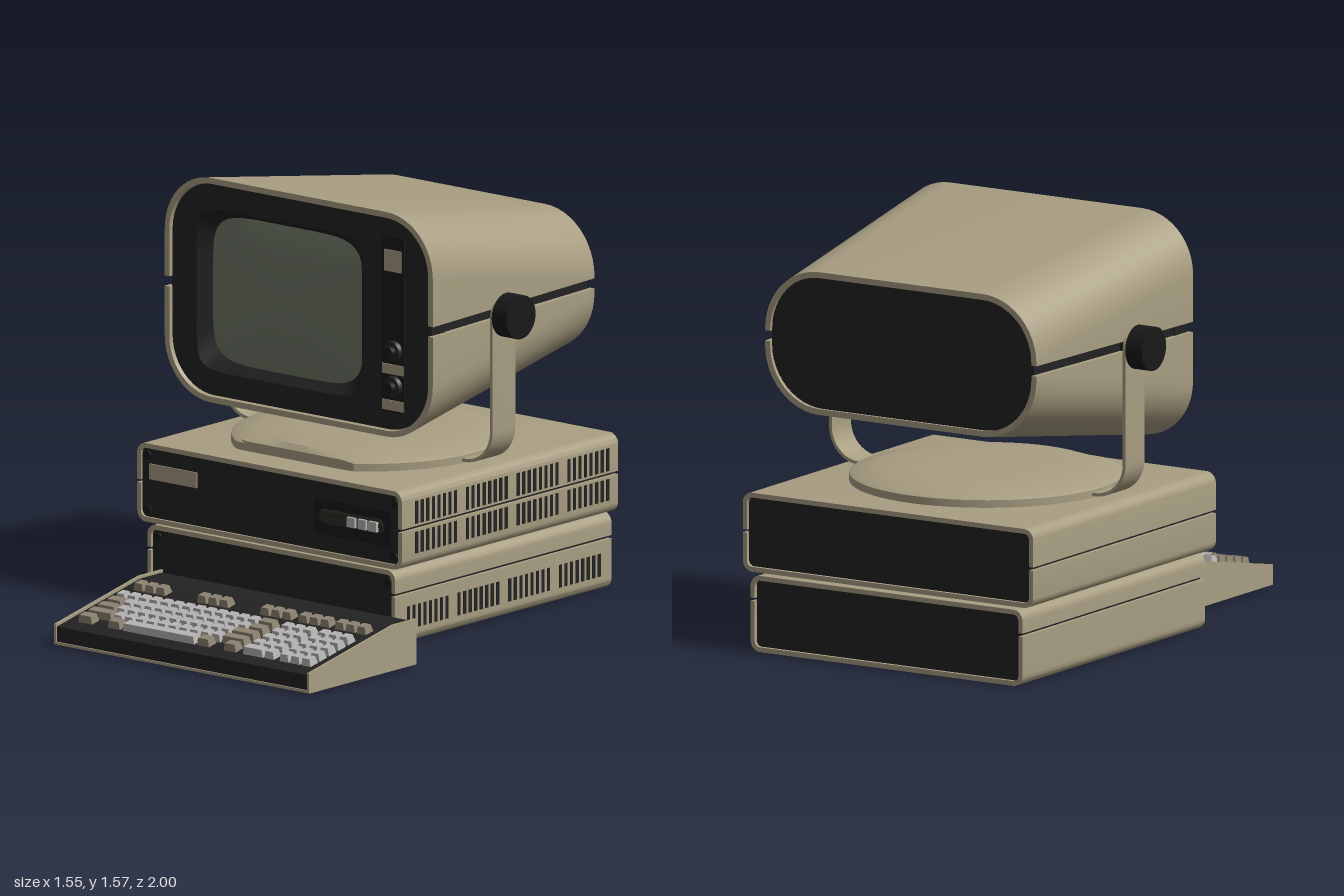
import * as THREE from 'three';
import { mergeGeometries, toCreasedNormals } from 'three/addons/utils/BufferGeometryUtils.js';

const material = (name, color, side = THREE.FrontSide) => {
  const m = new THREE.MeshStandardMaterial({ color, side });
  m.name = name;
  return m;
};

const CX = -0.057; // centre line of the stacked cases and monitor

// Closed solid between two matching counter-clockwise outlines (z0 behind z1)
function loft(back, z0, front, z1) {
  const n = back.length, pos = [];
  const put = (p, z) => pos.push(p.x, p.y, z);
  for (let i = 0; i < n; i++) {
    const j = (i + 1) % n;
    put(back[i], z0); put(back[j], z0); put(front[j], z1);
    put(back[i], z0); put(front[j], z1); put(front[i], z1);
  }
  for (const [a, b, c] of THREE.ShapeUtils.triangulateShape(front, [])) {
    put(front[a], z1); put(front[b], z1); put(front[c], z1);
  }
  for (const [a, b, c] of THREE.ShapeUtils.triangulateShape(back, [])) {
    put(back[a], z0); put(back[c], z0); put(back[b], z0);
  }
  const g = new THREE.BufferGeometry();
  g.setAttribute('position', new THREE.Float32BufferAttribute(pos, 3));
  return toCreasedNormals(g, 0.6);
}

// Rounded arch from the right end, over the top, to the left end
function arch(hw, h, r) {
  const pts = [new THREE.Vector2(hw, 0)];
  for (const [side, start] of [[1, 0], [-1, Math.PI / 2]])
    for (let i = 0; i <= 12; i++) {
      const a = start + (i / 12) * Math.PI / 2;
      pts.push(new THREE.Vector2(side * (hw - r) + r * Math.cos(a), h - r + r * Math.sin(a)));
    }
  pts.push(new THREE.Vector2(-hw, 0));
  return pts;
}

// Half of a hollow shell; dir 1 opens downward, -1 opens upward
function halfRing(y, dir, hw, h, r, t) {
  const pts = [...arch(hw, h, r), ...arch(hw - t, h - t, r - t).reverse()];
  pts.forEach((p) => p.set(CX + p.x, y + dir * p.y));
  return dir < 0 ? pts.reverse() : pts;
}

function roundedRect(hw, y0, y1, r) {
  const mid = (y0 + y1) / 2, top = arch(hw, (y1 - y0) / 2, r);
  return [...top, ...top.map((p) => p.clone().negate())].map((p) => p.set(p.x + CX, p.y + mid));
}

// Soft-cornered screen outline in polar steps
function softPoint(a, hw, hh, n) {
  const r = (Math.abs(Math.cos(a)) ** n + Math.abs(Math.sin(a)) ** n) ** (-1 / n);
  return new THREE.Vector2(hw * r * Math.cos(a), hh * r * Math.sin(a));
}

// Side profile in (z, y), extruded across x
function prism(profile, x0, x1) {
  const shape = new THREE.Shape(profile.map(([z, y]) => new THREE.Vector2(z, y)));
  const g = new THREE.ExtrudeGeometry(shape, { depth: x1 - x0, bevelEnabled: false });
  return g.rotateY(-Math.PI / 2).translate(x1, 0, 0);
}

const boxAt = (x0, x1, y0, y1, z0, z1) =>
  new THREE.BoxGeometry(x1 - x0, y1 - y0, z1 - z0).translate((x0 + x1) / 2, (y0 + y1) / 2, (z0 + z1) / 2);

export function createModel() {
  const model = new THREE.Group();
  const beige = material('beige casing', 0xa89e82);
  const black = material('black panel', 0x222222);
  const blackOpen = material('black well', 0x1f1f1f, THREE.DoubleSide);
  const knobBlack = material('knob black', 0x191919);
  const glass = material('screen glass', 0x6f7767);
  const slotDark = material('slot dark', 0x2d2f28);
  const keyLight = material('light key', 0xb9b7b5);
  const keyTan = material('tan key', 0x8f8572);
  const add = (parent, name, geo, mat) => {
    const m = new THREE.Mesh(geo, mat);
    m.name = name;
    parent.add(m);
    return m;
  };
  const group = (name) => {
    const g = new THREE.Group();
    g.name = name;
    model.add(g);
    return g;
  };

  // Two stacked cases: split shell around a black core
  const vents = [];
  function makeCase(name, hw, y0, y1, split, z0, z1, rows) {
    const g = group(name), t = 0.018, r = 0.04;
    const up = halfRing(split + 0.006, 1, hw, y1 - split - 0.006, r, t);
    const low = halfRing(split - 0.006, -1, hw, split - 0.006 - y0, r, t);
    add(g, 'upperShell', loft(up, z0, up, z1), beige);
    add(g, 'lowerShell', loft(low, z0, low, z1), beige);
    const core = roundedRect(hw - t + 0.002, y0 + t - 0.002, y1 - t + 0.002, r - t + 0.002);
    add(g, 'core', loft(core, z0 + 0.014, core, z1 - 0.01), black);
    for (const sx of [-1, 1]) for (const y of [y0 + 0.045, y1 - 0.045])
      add(g, 'screw', new THREE.CylinderGeometry(0.016, 0.016, 0.008, 16).rotateX(Math.PI / 2)
        .translate(CX + sx * (hw - 0.043), y, z1 - 0.008), knobBlack);
    const slats = [];
    for (const [v0, v1] of rows) for (let b = 0; b < 4; b++) for (let i = 0; i < 8; i++) {
      const z = 0.152 - b * 0.286 - i * 0.0312;
      slats.push(boxAt(CX + hw - 0.006, CX + hw + 0.002, v0, v1, z - 0.008, z + 0.008));
    }
    add(g, 'sideVents', mergeGeometries(slats), black);
    return g;
  }
  makeCase('lowerCase', 0.588, 0.005, 0.288, 0.197, -0.995, 0.225, [[0.06, 0.145]]);
  const upper = makeCase('upperCase', 0.628, 0.297, 0.59, 0.445, -0.985, 0.235, [[0.46, 0.545], [0.35, 0.43]]);

  // Front details of the upper case
  add(upper, 'badgePlate', boxAt(-0.633, -0.407, 0.456, 0.514, 0.222, 0.23), beige);
  add(upper, 'switchPanel', boxAt(0.148, 0.516, 0.376, 0.51, 0.221, 0.229), knobBlack);
  add(upper, 'switchSlot', new THREE.CapsuleGeometry(0.027, 0.255, 8, 16).rotateZ(Math.PI / 2)
    .scale(1, 1, 0.1).translate(0.328, 0.445, 0.229), slotDark);
  for (const x of [0.333, 0.386, 0.437])
    add(upper, 'switchKey', boxAt(x - 0.019, x + 0.019, 0.425, 0.462, 0.226, 0.243), keyLight);
  add(upper, 'switchSlider', boxAt(0.2, 0.285, 0.45, 0.458, 0.228, 0.234), black);

  // Swivel plate: low dome with its front cut flat
  const swivel = group('swivelBase');
  const dome = new THREE.LatheGeometry([[0.5, 0], [0.5, 0.028], [0.485, 0.036], [0.4, 0.055], [0.28, 0.064], [0, 0.066]]
    .map(([x, y]) => new THREE.Vector2(x, y)), 64);
  const dp = dome.attributes.position;
  for (let i = 0; i < dp.count; i++) dp.setZ(i, Math.min(dp.getZ(i), 0.42));
  add(swivel, 'swivelPlate', toCreasedNormals(dome.toNonIndexed(), 0.5).translate(CX, 0.59, -0.325), beige);

  // U-shaped strap with pivots and knobs
  const strap = halfRing(1.157, -1, 0.641, 0.56, 0.13, 0.012);
  add(swivel, 'strap', loft(strap, -0.389, strap, -0.261), beige);
  for (const s of [-1, 1]) {
    const disc = (name, r, a, b, mat) => add(swivel, name, new THREE.CylinderGeometry(r, r, b - a, 40)
      .rotateZ(Math.PI / 2).translate(CX + s * (a + b) / 2, 1.157, -0.325), mat);
    disc('strapEnd', 0.064, 0.629, 0.641, beige);
    disc('pivot', 0.03, 0.58, 0.66, knobBlack);
    disc('tiltKnob', 0.081, 0.651, 0.723, knobBlack);
  }

  // Monitor: tapered split shell around a black core
  const monitor = group('monitor');
  add(monitor, 'upperShell', loft(halfRing(1.178, 1, 0.587, 0.242, 0.235, 0.022), -0.9,
    halfRing(1.178, 1, 0.636, 0.397, 0.22, 0.022), 0.07), beige);
  add(monitor, 'lowerShell', loft(halfRing(1.14, -1, 0.587, 0.25, 0.235, 0.022), -0.9,
    halfRing(1.14, -1, 0.636, 0.403, 0.22, 0.022), 0.07), beige);
  add(monitor, 'core', loft(roundedRect(0.567, 0.911, 1.401, 0.22), -0.885,
    roundedRect(0.611, 0.77, 1.543, 0.2), -0.02), black);

  // Front bezel with a funnel leading to the domed glass
  const sx = -0.164, sy = 1.153;
  const angles = Array.from({ length: 96 }, (_, i) => (i / 96) * Math.PI * 2);
  const bezel = new THREE.Shape(roundedRect(0.616, 0.757, 1.555, 0.2));
  bezel.holes.push(new THREE.Path(angles.map((a) => softPoint(a, 0.392, 0.303, 9).add(new THREE.Vector2(sx, sy)))));
  add(monitor, 'bezel', new THREE.ExtrudeGeometry(bezel, { depth: 0.075, bevelEnabled: false }).translate(0, 0, -0.022), black);
  const funnel = new THREE.CylinderGeometry(1, 1, 1, 96, 1, true).rotateX(Math.PI / 2);
  const fp = funnel.attributes.position;
  for (let i = 0; i < fp.count; i++) {
    const a = Math.atan2(fp.getY(i), fp.getX(i)), front = fp.getZ(i) > 0;
    const p = front ? softPoint(a, 0.392, 0.303, 9) : softPoint(a, 0.355, 0.276, 5.5);
    fp.setXYZ(i, sx + p.x, sy + p.y, front ? 0.053 : 0);
  }
  funnel.computeVertexNormals();
  add(monitor, 'screenWell', funnel, blackOpen);
  const screen = new THREE.RingGeometry(0.001, 1, 96, 8);
  const sp = screen.attributes.position;
  for (let i = 0; i < sp.count; i++) {
    const x = sp.getX(i), y = sp.getY(i), r = Math.hypot(x, y);
    const p = softPoint(Math.atan2(y, x), 0.359, 0.279, 5.5).multiplyScalar(r);
    sp.setXYZ(i, sx + p.x, sy + p.y, 0.002 + 0.035 * (1 - r * r));
  }
  screen.computeVertexNormals();
  add(monitor, 'screen', screen, glass);

  // Monitor control strip
  add(monitor, 'controlStrip', boxAt(0.328, 0.432, 0.827, 1.483, 0.05, 0.057), knobBlack);
  for (const [hw, y0, y1] of [[0.04, 1.353, 1.433], [0.05, 0.97, 1.007], [0.05, 0.835, 0.873]])
    add(monitor, 'controlLabel', boxAt(0.38 - hw, 0.38 + hw, y0, y1, 0.054, 0.061), beige);
  for (const y of [1.057, 0.925]) {
    add(monitor, 'controlKnobSkirt', new THREE.CylinderGeometry(0.036, 0.041, 0.016, 24).rotateX(Math.PI / 2).translate(0.382, y, 0.064), black);
    add(monitor, 'controlKnob', new THREE.CylinderGeometry(0.02, 0.022, 0.03, 12).rotateX(Math.PI / 2).translate(0.382, y, 0.076), knobBlack);
  }

  // Keyboard: wedge with beige sides and bottom
  const keyboard = group('keyboard');
  const side = [[0.395, 0.01], [1, 0.01], [1, 0.085], [0.525, 0.18], [0.395, 0.18]];
  add(keyboard, 'rightSide', prism(side, -0.437, -0.427), beige);
  add(keyboard, 'leftSide', prism(side, 0.765, 0.775), beige);
  add(keyboard, 'bottom', boxAt(-0.427, 0.765, 0.01, 0.02, 0.395, 1), beige);
  add(keyboard, 'body', prism([[0.4, 0.02], [0.994, 0.02], [0.994, 0.076], [0.525, 0.17], [0.4, 0.17]], -0.427, 0.765), black);

  // Keycaps in runs: row z, start x, end x, count
  const tilt = Math.atan(0.2);
  const keycaps = (runs) => mergeGeometries(runs.flatMap(([z, x0, x1, n]) =>
    Array.from({ length: n }, (_, i) => {
      const pitch = (x1 - x0) / n, w = pitch - 0.007;
      const cap = new THREE.BoxGeometry(w, 0.03, 0.044), p = cap.attributes.position;
      for (let k = 0; k < p.count; k++) if (p.getY(k) > 0) {
        p.setX(k, p.getX(k) - Math.sign(p.getX(k)) * 0.006);
        p.setZ(k, p.getZ(k) * 0.75);
      }
      cap.computeVertexNormals();
      return cap.rotateX(tilt).translate(x0 + (i + 0.5) * pitch, 0.088 + (1 - z) * 0.2, z);
    })));
  const rows = [0.7, 0.755, 0.808, 0.861, 0.912];
  const light = [[rows[0], -0.383, 0.29, 13], [rows[1], -0.305, 0.29, 12], [rows[2], -0.29, 0.255, 11],
    [rows[3], -0.26, 0.255, 10], [rows[4], -0.172, 0.175, 1], [rows[4], 0.397, 0.5, 1], [rows[4], 0.5, 0.553, 1]];
  rows.forEach((z, i) => {
    if (i < 4) light.push([z, 0.397, 0.553, 3]);
    light.push([z, 0.571, 0.727, 3]);
  });
  const tan = [[rows[0], 0.29, 0.37, 1], [rows[1], -0.383, -0.305, 1], [rows[1], 0.29, 0.37, 1],
    [rows[2], -0.383, -0.29, 1], [rows[2], 0.255, 0.37, 1], [rows[3], -0.383, -0.26, 1], [rows[3], 0.255, 0.37, 1],
    [rows[4], -0.383, -0.31, 1], [rows[4], -0.243, -0.178, 1], [rows[4], 0.18, 0.245, 1], [rows[4], 0.307, 0.372, 1]];
  for (const x of [-0.383, -0.083, 0.216, 0.397, 0.571]) tan.push([0.6, x, x + 0.156, 3]);
  add(keyboard, 'lightKeys', keycaps(light), keyLight);
  add(keyboard, 'tanKeys', keycaps(tan), keyTan);

  return model;
}
